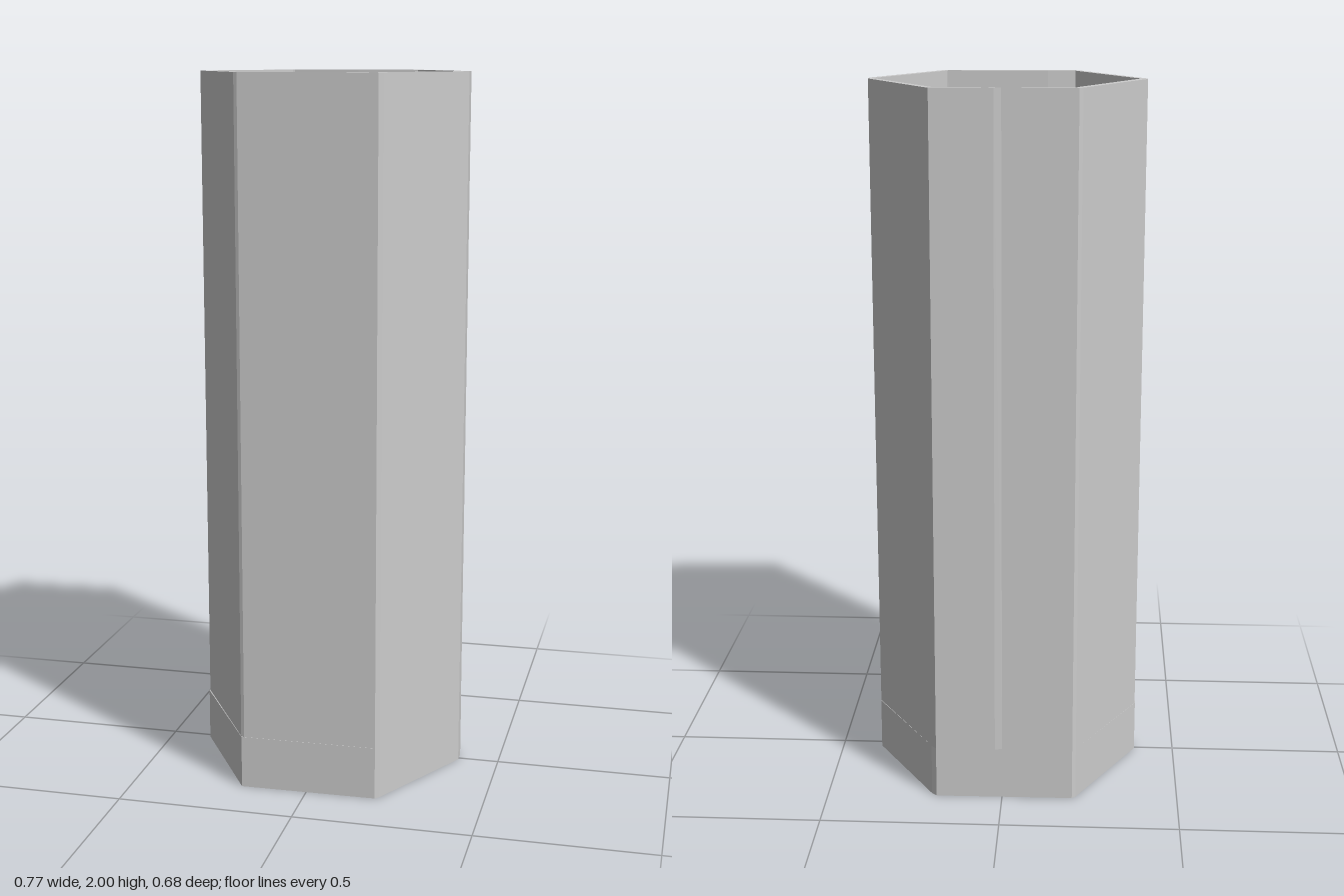
import * as THREE from 'three';

const FLOOR = 0.15, HEIGHT = 2;

// Slightly uneven hexagon outlines with clipped corners, as [x, z]
const OUTER = [
  [-0.2, -0.335], [0.0, -0.336], [0.02, -0.34], [0.188, -0.341], [0.2, -0.328],
  [0.383, -0.025], [0.383, 0.01], [0.21, 0.32], [0.198, 0.332],
  [-0.18, 0.338], [-0.19, 0.334], [-0.382, 0.012], [-0.383, -0.006], [-0.21, -0.325],
];
const INNER = [
  [-0.194, -0.323], [0.0, -0.323], [0.178, -0.328], [0.184, -0.313],
  [0.37, -0.01], [0.194, 0.306], [0.192, 0.32], [-0.1, 0.32],
  [-0.181, 0.327], [-0.184, 0.311], [-0.352, 0.027], [-0.366, 0.014], [-0.195, -0.305],
];
const BASE = [
  [-0.2, -0.334], [0.188, -0.338], [0.202, -0.325], [0.383, -0.028], [0.383, 0.01],
  [0.21, 0.32], [0.198, 0.333], [-0.188, 0.339], [-0.384, 0.014], [-0.384, -0.006],
  [-0.21, -0.325],
];

// Plan points as counter-clockwise shape points, so walls and holes face the right way
const toPoints = (list) => list.map(([x, z]) => new THREE.Vector2(x, -z)).reverse();

export function createModel() {
  const group = new THREE.Group();
  group.name = 'hexagonalCup';
  const material = new THREE.MeshStandardMaterial({ color: 0xcccccc, flatShading: true });

  // Extrudes a plan outline upwards from y0 to y1
  function addPrism(name, shape, y0, y1) {
    const geometry = new THREE.ExtrudeGeometry(shape, { depth: y1 - y0, bevelEnabled: false });
    geometry.rotateX(-Math.PI / 2).translate(0, y0, 0);
    const mesh = new THREE.Mesh(geometry, material);
    mesh.name = name;
    group.add(mesh);
  }

  // Solid base that closes the bottom
  addPrism('base', new THREE.Shape(toPoints(BASE)), 0, FLOOR);

  // Thin hollow wall, open at the top
  const wall = new THREE.Shape(toPoints(OUTER));
  wall.holes.push(new THREE.Path(toPoints(INNER)));
  addPrism('wall', wall, FLOOR, HEIGHT);

  return group;
}
